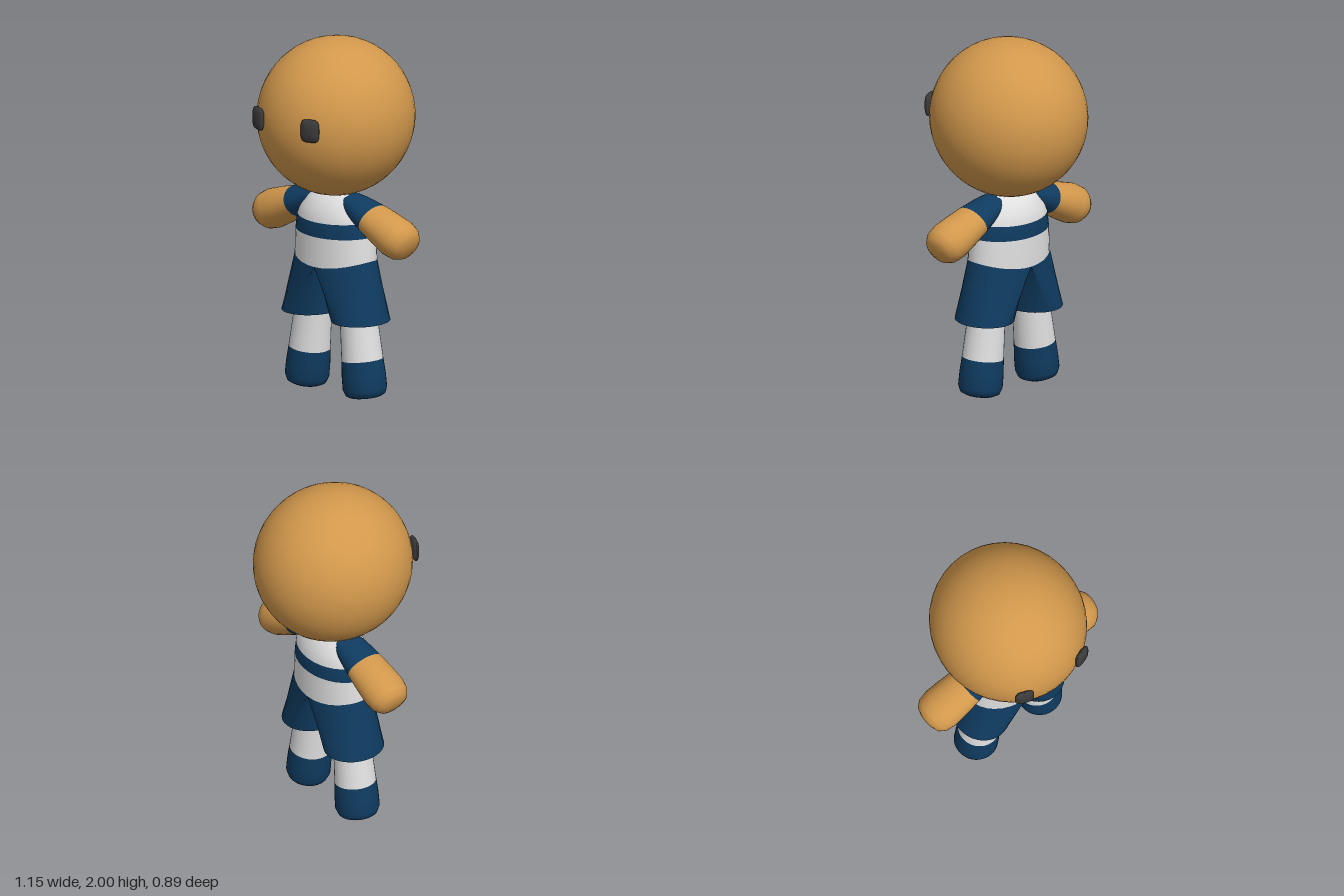
import * as THREE from 'three';

const flat = (name, color, side = THREE.FrontSide) => {
  const m = new THREE.MeshStandardMaterial({ color, side });
  m.name = name;
  return m;
};

const N = 32; // sides of every round section

// Skin through rings (bottom to top). ring(t) gives [x, y, z]; bands[i] is the
// material index of the strip between ring i and ring i + 1.
function loft(rings, bands) {
  const pos = [], idx = [];
  const g = new THREE.BufferGeometry();
  rings.forEach((ring) => {
    for (let j = 0; j < N; j++) pos.push(...ring((j / N) * Math.PI * 2));
  });
  bands.forEach((mat, i) => {
    g.addGroup(idx.length, N * 6, mat);
    for (let j = 0; j < N; j++) {
      const a = i * N + j, b = i * N + ((j + 1) % N);
      idx.push(a, a + N, b, b, a + N, b + N);
    }
  });
  g.setAttribute('position', new THREE.Float32BufferAttribute(pos, 3));
  g.setIndex(idx);
  g.computeVertexNormals();
  return g;
}

// Elliptic ring: height, half width, half depth, extra rise toward the sides
const oval = (y, rx, rz = rx, rise = 0) => (t) =>
  [rx * Math.cos(t), y + rise * Math.cos(t) ** 2, rz * Math.sin(t)];

export function createModel() {
  const model = new THREE.Group();
  const skin = flat('skin', 0xd2984c);
  const navy = flat('navy cloth', 0x0f3b60);
  const navyOpen = flat('navy cloth', 0x0f3b60, THREE.DoubleSide);
  navyOpen.name = 'navy shorts cloth';
  const white = flat('white cloth', 0xe0e0e0);
  const dark = flat('eye', 0x3a3a3a);

  const add = (parent, name, geometry, material) => {
    const mesh = new THREE.Mesh(geometry, material);
    mesh.name = name;
    parent.add(mesh);
    return mesh;
  };

  // Large round head
  const head = add(model, 'head', new THREE.SphereGeometry(1, 40, 28), skin);
  head.scale.set(0.425, 0.44, 0.445);
  head.position.y = 1.56;

  // Striped shirt
  add(model, 'shirt', loft([
    oval(0.735, 0.265, 0.175, 0.045),
    oval(0.905, 0.256, 0.176, 0.008),
    oval(0.988, 0.243, 0.172, 0.008),
    oval(1.05, 0.22, 0.152),
    oval(1.1, 0.185, 0.122),
    oval(1.135, 0.15, 0.085),
    oval(1.15, 0.11, 0.05),
    oval(1.15, 0, 0),
  ], [0, 1, 0, 0, 0, 0, 0]), [white, navy]);

  // Limbs: the second side is the first turned half way round
  for (const side of ['left', 'right']) {
    const half = new THREE.Group();
    half.name = side + 'Limbs';
    if (side === 'right') half.rotation.y = Math.PI;
    model.add(half);

    // Shorts leg: half of the waist section opening into an oval hem
    const hem = (t) => [0.187 + 0.154 * Math.cos(t), 0.437, 0.173 * Math.sin(t)];
    const waist = (t) => {
      const c = Math.max(0, Math.cos(t));
      return [0.265 * c, 0.735 + 0.045 * c * c, 0.175 * Math.sin(t)];
    };
    const middle = (t) => {
      const a = hem(t), b = waist(t);
      return a.map((v, i) => (v + b[i]) / 2);
    };
    add(half, side + 'ShortsLeg', loft([hem, middle, waist], [0, 0]), [navyOpen]);

    // Leg with sock
    const leg = add(half, side + 'Leg', loft([
      oval(0, 0), oval(0, 0.085), oval(0.012, 0.109), oval(0.045, 0.122),
      oval(0.12, 0.121), oval(0.208, 0.115), oval(0.43, 0.104), oval(0.6, 0.098),
    ], [0, 0, 0, 0, 0, 1, 1]), [navy, white]);
    leg.position.set(0.225, 0.012, 0);
    leg.rotation.z = 0.12;

    // Arm with short sleeve, widening toward a blunt hand
    const arm = add(half, side + 'Arm', loft([
      oval(-0.2, 0.045, 0.075), oval(-0.12, 0.066, 0.096), oval(0, 0.088, 0.112),
      oval(0.1, 0.102, 0.12), oval(0.19, 0.111, 0.124), oval(0.245, 0.104, 0.115),
      oval(0.28, 0.082, 0.09), oval(0.295, 0.045, 0.05), oval(0.296, 0, 0),
    ], [0, 0, 1, 1, 1, 1, 1, 1]), [navy, skin]);
    arm.position.set(0.285, 1.025, 0);
    arm.rotation.z = -1.97;
  }

  // Eyes: soft rounded rectangles set into the face
  const eyeShape = new THREE.SphereGeometry(1, 24, 16);
  const p = eyeShape.attributes.position;
  for (let i = 0; i < p.count; i++) {
    const x = p.getX(i), y = p.getY(i), z = p.getZ(i);
    const r = Math.hypot(x, y);
    const k = r > 1e-6 ? r / Math.pow(x ** 4 + y ** 4, 0.25) : 1;
    p.setXYZ(i, x * k * 0.055, y * k * 0.065, z * 0.024);
  }
  eyeShape.computeVertexNormals();
  for (const s of [1, -1]) {
    const eye = add(model, s > 0 ? 'leftEye' : 'rightEye', eyeShape, dark);
    eye.position.set(s * 0.196, 1.585, 0.409);
    eye.rotation.y = s * 0.36;
  }
  return model;
}
